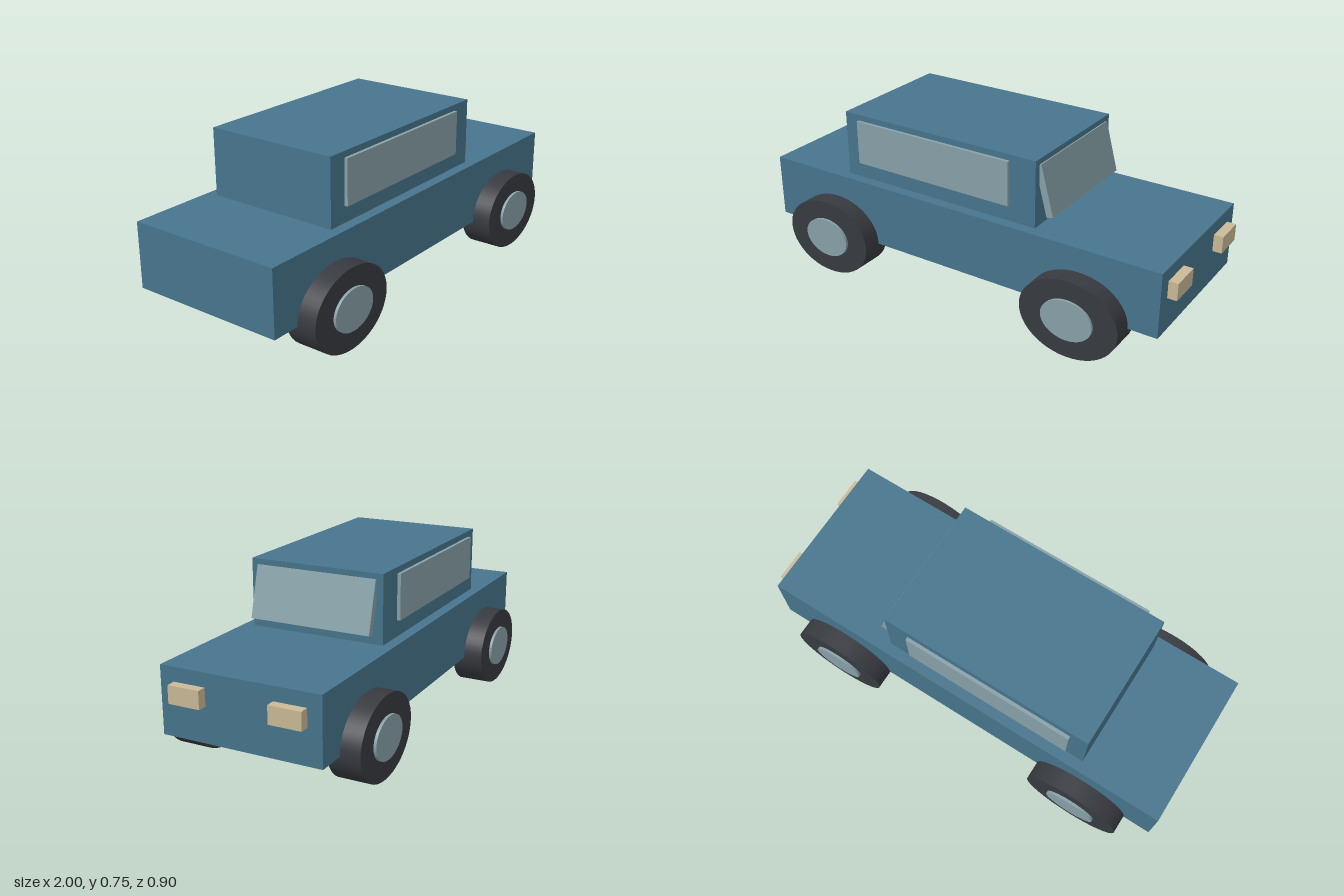
import * as THREE from 'three';

const material = (name, color) => {
  const m = new THREE.MeshStandardMaterial({ color });
  m.name = name;
  return m;
};

export function createModel() {
  const car = new THREE.Group();
  car.name = 'car';
  const paint = material('bluePaint', 0x47758d);
  const glass = material('paleGlass', 0x88a1a9);
  const rubber = material('darkRubber', 0x373a40);
  const lamp = material('creamLamp', 0xcbba98);

  const add = (name, geometry, mat, x, y, z, parent = car) => {
    const mesh = new THREE.Mesh(geometry, mat);
    mesh.name = name;
    mesh.position.set(x, y, z);
    parent.add(mesh);
    return mesh;
  };
  const box = (name, mat, size, pos) => add(name, new THREE.BoxGeometry(...size), mat, ...pos);

  // Oval disc with its axle along z
  const disc = (rx, ry, width) =>
    new THREE.CylinderGeometry(1, 1, width, 48).rotateX(Math.PI / 2).scale(rx, ry, 1);

  // Lower body and cabin
  box('body', paint, [1.957, 0.288, 0.706], [-0.0215, 0.312, 0]);
  box('cabin', paint, [0.978, 0.296, 0.61], [-0.119, 0.604, 0]);

  // Leaning windscreen
  box('windscreen', glass, [0.031, 0.228, 0.55], [0.392, 0.6155, 0]).rotation.z = 0.262;

  for (const side of [1, -1]) {
    const label = side > 0 ? 'Front' : 'Back';
    // Side windows stand just clear of the cabin
    box('sideWindow' + label, glass, [0.782, 0.197, 0.015], [-0.139, 0.63, side * 0.3185]);
    // Headlights on the +x end
    box('headlight' + label, lamp, [0.041, 0.076, 0.141], [0.9775, 0.358, side * 0.2205]);

    // Wheels with raised hubs on the outer faces
    for (const x of [-0.648, 0.605]) {
      const wheel = new THREE.Group();
      wheel.name = 'wheel' + label + (x > 0 ? 'Nose' : 'Tail');
      wheel.position.set(x, 0.175, side * 0.368);
      car.add(wheel);
      add('tyre', disc(0.224, 0.175, 0.14), rubber, 0, 0, 0, wheel);
      add('hub', disc(0.117, 0.09, 0.03), glass, 0, 0.001, side * 0.067, wheel);
    }
  }
  return car;
}
